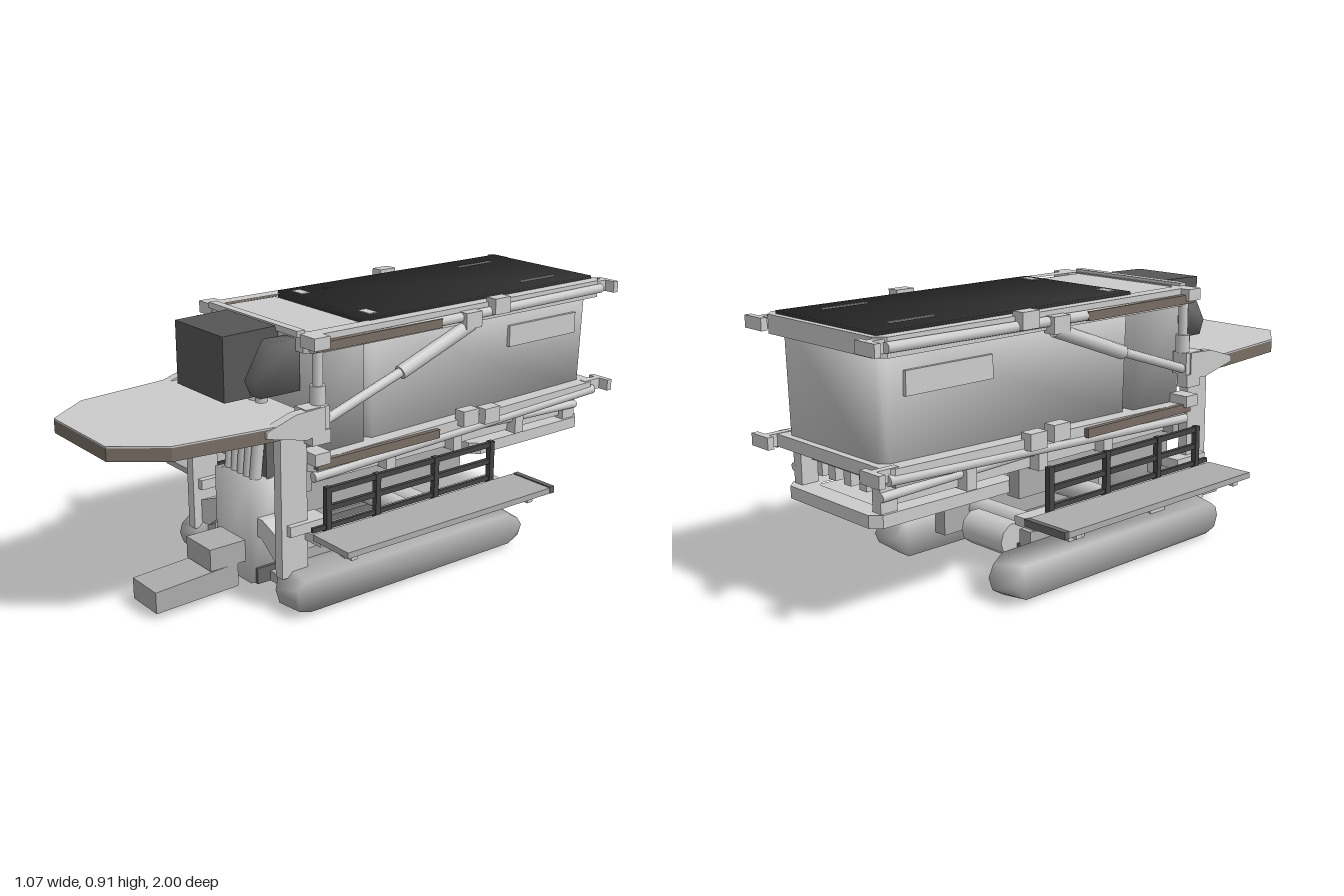
import * as THREE from 'three';
import { mergeVertices } from 'three/addons/utils/BufferGeometryUtils.js';

const paint = (color) => new THREE.MeshStandardMaterial({ color });
const grey = paint(0xcccccc);
const plate = paint(0xacacac);
const dark = paint(0x2e2e2e);
const mid = paint(0x666666);
const engine = paint(0x565656);
const railing = paint(0x444444);
const rust = paint(0x786d64);

// weld corners and average the face normals equally, so shading runs softly across edges
function soften(geo) {
  geo.deleteAttribute('normal');
  geo.deleteAttribute('uv');
  const g = mergeVertices(geo, 1e-4);
  const p = g.attributes.position;
  const sums = Array.from({ length: p.count }, () => new THREE.Vector3());
  const tri = new THREE.Triangle(), n = new THREE.Vector3();
  for (let i = 0; i < g.index.count; i += 3) {
    const ids = [0, 1, 2].map((k) => g.index.getX(i + k));
    tri.setFromAttributeAndIndices(p, ...ids);
    tri.getNormal(n);
    ids.forEach((id) => sums[id].add(n));
  }
  g.setAttribute('normal', new THREE.Float32BufferAttribute(sums.flatMap((v) => v.normalize().toArray()), 3));
  return g;
}

export function createModel() {
  const model = new THREE.Group();
  const add = (name, geo, mat = grey, soft = false) => {
    const m = new THREE.Mesh(soft ? soften(geo) : geo, mat);
    m.name = name;
    model.add(m);
    return m;
  };
  // box given by its limits on each axis
  const box = (name, x0, x1, y0, y1, z0, z1, mat, soft) => {
    const m = add(name, new THREE.BoxGeometry(x1 - x0, y1 - y0, z1 - z0), mat, soft);
    m.position.set((x0 + x1) / 2, (y0 + y1) / 2, (z0 + z1) / 2);
  };
  // the same box on both sides
  const pair = (name, x0, x1, ...rest) => {
    box(name, x0, x1, ...rest);
    box(name, -x1, -x0, ...rest);
  };
  // round rod between two points
  const rod = (name, a, b, r) => {
    const p = new THREE.Vector3(...a), q = new THREE.Vector3(...b);
    const m = add(name, new THREE.CylinderGeometry(r, r, p.distanceTo(q), 10));
    m.position.copy(p).add(q).multiplyScalar(0.5);
    m.quaternion.setFromUnitVectors(new THREE.Vector3(0, 1, 0), q.sub(p).normalize());
  };
  const rodPair = (name, a, b, r) => {
    for (const s of [1, -1]) rod(name, [a[0] * s, a[1], a[2]], [b[0] * s, b[1], b[2]], r);
  };
  const shapeOf = (pts) => new THREE.Shape(pts.map((p) => new THREE.Vector2(...p)));
  const extrude = (shape, depth) => new THREE.ExtrudeGeometry(shape, { depth, bevelEnabled: false });
  // side profile (z, y) extruded across x
  const sideProfile = (name, pts, x0, x1, mat, soft) => {
    const g = extrude(shapeOf(pts.map(([z, y]) => [-z, y])), x1 - x0);
    g.rotateY(Math.PI / 2);
    g.translate(x0, 0, 0);
    return add(name, g, mat, soft);
  };
  const profilePair = (name, pts, x0, x1, mat, soft) => [
    sideProfile(name, pts, x0, x1, mat, soft), sideProfile(name, pts, -x1, -x0, mat, soft)];
  // plan outline (x, z) extruded upward, with an optional hole
  const plan = (name, pts, y0, y1, { mat, hole, soft } = {}) => {
    const shape = shapeOf(pts.map(([x, z]) => [x, -z]));
    if (hole) shape.holes.push(new THREE.Path(hole.map(([x, z]) => new THREE.Vector2(x, -z))));
    const g = extrude(shape, y1 - y0);
    g.rotateX(-Math.PI / 2);
    g.translate(0, y0, 0);
    return add(name, g, mat, soft);
  };
  // rectangle with cut corners
  const cut = (w, z0, z1, c) => [
    [-w, z0 + c], [-w + c, z0], [w - c, z0], [w, z0 + c],
    [w, z1 - c], [w - c, z1], [-w + c, z1], [-w, z1 - c]];

  // crawler tracks, chamfered towards the outside
  const trackSide = [[0.47, 0.07], [0.46, 0.115], [0.43, 0.145], [-0.47, 0.145], [-0.51, 0.115],
    [-0.53, 0.075], [-0.515, 0.03], [-0.47, 0.002], [0.41, 0.002], [0.455, 0.02]];
  for (const track of profilePair('track', trackSide, 0.24, 0.348, plate, true)) {
    const p = track.geometry.attributes.position;
    for (let i = 0; i < p.count; i++) {
      if (Math.abs(p.getX(i)) < 0.3) continue;
      const y = p.getY(i);
      p.setY(i, y > 0.07 ? y - (y - 0.07) * 0.25 : y + (0.07 - y) * 0.2);
    }
    track.geometry = soften(track.geometry);
  }
  for (const z of [0.2, -0.2]) {
    rodPair('trackRoller', [0.23, 0.15, z], [0.3, 0.15, z], 0.04);
    rod('axle', [-0.24, 0.13, z], [0.24, 0.13, z], 0.04);
  }
  pair('trackFrame', 0.19, 0.24, 0.06, 0.18, -0.35, 0.42, plate);

  // arched beam joining the tracks
  const arch = extrude(shapeOf([[-0.27, 0.14], [-0.2, 0.14], [-0.12, 0.2], [0.12, 0.2], [0.2, 0.14], [0.27, 0.14],
    [0.27, 0.21], [0.13, 0.265], [-0.13, 0.265], [-0.27, 0.21]]), 0.07);
  add('archBeam', arch).position.z = 0.37;
  box('crossTie', -0.24, 0.24, 0.035, 0.07, 0.34, 0.4, plate);

  // belly slab with a rear drum, and front steps
  box('bellySlab', -0.11, 0.11, 0.035, 0.09, -0.28, 0.45, mid);
  rod('bellyDrum', [-0.1, 0.105, -0.29], [0.1, 0.105, -0.29], 0.06);
  sideProfile('lowerStep', [[0.81, 0.022], [0.5, 0.03], [0.5, 0.112], [0.81, 0.095]], -0.075, 0.07, plate);
  box('upperStep', -0.075, 0.07, 0.11, 0.185, 0.45, 0.605, plate);

  // front column with hoses
  box('frontColumn', -0.1, 0.1, 0.04, 0.395, 0.37, 0.47, grey, true);
  for (let i = 0; i < 5; i++) {
    const x = -0.075 + i * 0.04;
    rod('hose', [x * 0.9, 0.38, 0.43], [x, 0.69, 0.4], 0.02);
  }
  box('hoseBacking', -0.1, 0.1, 0.39, 0.6, 0.36, 0.4, mid);

  // corner posts carrying the upper works
  pair('frontPost', 0.243, 0.28, 0.12, 0.6, 0.37, 0.47);
  pair('postBracket', 0.26, 0.32, 0.605, 0.68, 0.31, 0.4);
  pair('postLug', 0.28, 0.325, 0.56, 0.605, 0.31, 0.38);
  pair('postFoot', 0.22, 0.3, 0.265, 0.3, 0.3, 0.45);

  // front tray with side pods
  const tray = [[-0.32, 0.36], [0.32, 0.36], [0.32, 0.52], [0.28, 0.85], [0.165, 1],
    [-0.165, 1], [-0.28, 0.85], [-0.32, 0.52]];
  plan('trayRim', tray, 0.604, 0.646, { mat: [mid, rust] });
  plan('trayTop', tray, 0.646, 0.651);
  profilePair('trayPod', [[0.55, 0.62], [0.55, 0.64], [0.44, 0.675], [0.33, 0.68], [0.33, 0.6], [0.4, 0.585]], 0.29, 0.325);

  // power unit above the tray
  sideProfile('powerUnit', [[0.37, 0.69], [0.575, 0.69], [0.575, 0.9], [0.37, 0.905]], -0.14, 0.135, engine);
  profilePair('sideUnit', [[0.35, 0.71], [0.5, 0.71], [0.52, 0.76], [0.45, 0.88], [0.35, 0.88]], 0.165, 0.22, mid, true);

  // tapered hopper body
  const body = plan('hopperBody', cut(0.255, -0.925, 0.1, 0.025), 0.5, 0.88, { soft: true });
  const bp = body.geometry.attributes.position;
  for (let i = 0; i < bp.count; i++) if (bp.getY(i) < 0.6) bp.setX(i, bp.getX(i) * 0.95);
  body.geometry = soften(body.geometry);
  box('frontCabinet', -0.25, 0.25, 0.49, 0.86, 0.12, 0.345, plate, true);
  pair('sidePanel', 0.25, 0.263, 0.715, 0.79, -0.85, -0.52);

  // roof and its frame
  plan('roofFrame', cut(0.29, -0.96, 0.365, 0.03), 0.84, 0.9, { hole: cut(0.24, -0.92, 0.34, 0.02) });
  box('roofCover', -0.253, 0.248, 0.88, 0.91, -0.94, 0.095, dark, true);
  box('frontCover', -0.235, 0.235, 0.87, 0.895, 0.12, 0.345);
  for (const x of [-0.16, 0.165]) box('roofSlot', x - 0.006, x + 0.006, 0.9, 0.913, -0.83, -0.66);
  for (const x of [-0.18, 0.185]) box('roofPlate', x - 0.03, x + 0.03, 0.9, 0.913, 0.035, 0.07);
  box('roofLip', -0.25, 0.25, 0.89, 0.91, 0.35, 0.38);

  // lower frame, rising slightly to the rear
  const lower = plan('lowerFrame', cut(0.295, -0.96, 0.36, 0.03), 0.465, 0.505, { hole: cut(0.21, -0.86, 0.28, 0.02) });
  lower.rotation.x = 0.02;
  rodPair('lowerRail', [0.285, 0.44, 0.35], [0.285, 0.49, -0.94], 0.017);
  rodPair('upperRail', [0.295, 0.862, 0.36], [0.295, 0.872, -0.94], 0.017);
  for (const y of [0.85, 0.47]) pair('railGuard', 0.29, 0.312, y, y + 0.03, -0.16, 0.35, rust);
  for (const [y, z] of [[0.86, -0.42], [0.83, -0.29], [0.48, -0.39], [0.49, -0.29]]) {
    pair('railClamp', 0.28, 0.325, y, y + 0.055, z - 0.035, z + 0.035);
  }
  for (const y of [0.855, 0.485]) {
    pair('rearArm', 0.26, 0.285, y, y + 0.04, -0.985, -0.9);
    pair('rearTab', 0.235, 0.325, y, y + 0.04, -1, -0.978);
    pair('frontLug', 0.25, 0.325, y + 0.005, y + 0.045, 0.31, 0.37);
  }

  // diagonal side struts and standing cylinders
  rodPair('strut', [0.3, 0.61, 0.36], [0.3, 0.74, -0.03], 0.016);
  rodPair('strutSleeve', [0.3, 0.725, 0.01], [0.3, 0.84, -0.3], 0.024);
  rodPair('lowerStrut', [0.22, 0.45, 0], [0.22, 0.42, -0.92], 0.015);
  rodPair('standingCylinder', [0.285, 0.66, 0.33], [0.285, 0.87, 0.33], 0.017);
  rodPair('cylinderCollar', [0.285, 0.68, 0.33], [0.285, 0.74, 0.33], 0.025);

  // beams under the hopper
  for (const x of [0.04, 0.12, 0.19]) pair('floorBeam', x - 0.018, x + 0.018, 0.385, 0.45, -0.85, 0.35);
  box('floorPlate', -0.24, 0.24, 0.445, 0.47, -0.88, 0.36, plate);
  box('frontSill', -0.25, 0.25, 0.38, 0.455, 0.33, 0.36, plate);
  for (const z of [0, -0.3, -0.6]) box('floorTie', -0.25, 0.25, 0.38, 0.45, z - 0.02, z + 0.02);
  pair('beamHanger', 0.145, 0.2, 0.285, 0.385, -0.36, 0.36, plate);
  plan('rearChute', cut(0.23, -0.95, -0.4, 0.03), 0.33, 0.37, { hole: cut(0.16, -0.88, -0.46, 0.02) });
  box('chutePanel', -0.165, 0.165, 0.35, 0.365, -0.89, -0.45);
  pair('chuteHanger', 0.18, 0.22, 0.36, 0.47, -0.92, -0.86);

  // side walkways with railings
  pair('walkway', 0.355, 0.533, 0.264, 0.284, -0.47, 0.405, plate);
  pair('walkwayEnd', 0.36, 0.535, 0.264, 0.288, -0.488, -0.468, mid);
  pair('walkwayBeam', 0.265, 0.36, 0.235, 0.265, -0.44, 0.38);
  for (const x of [0.4, 0.45, 0.5]) {
    for (const z of [-0.4, 0.36]) pair('walkwayTab', x - 0.008, x + 0.008, 0.24, 0.266, z - 0.012, z + 0.012);
  }
  for (const z of [0.34, 0.14, -0.11, -0.365]) pair('railPost', 0.335, 0.355, 0.25, 0.425, z - 0.01, z + 0.01, railing);
  for (const y of [0.345, 0.405]) pair('handrail', 0.338, 0.352, y, y + 0.018, -0.375, 0.35, railing);
  pair('kickRail', 0.338, 0.35, 0.284, 0.3, -0.375, 0.4, railing);
  return model;
}
